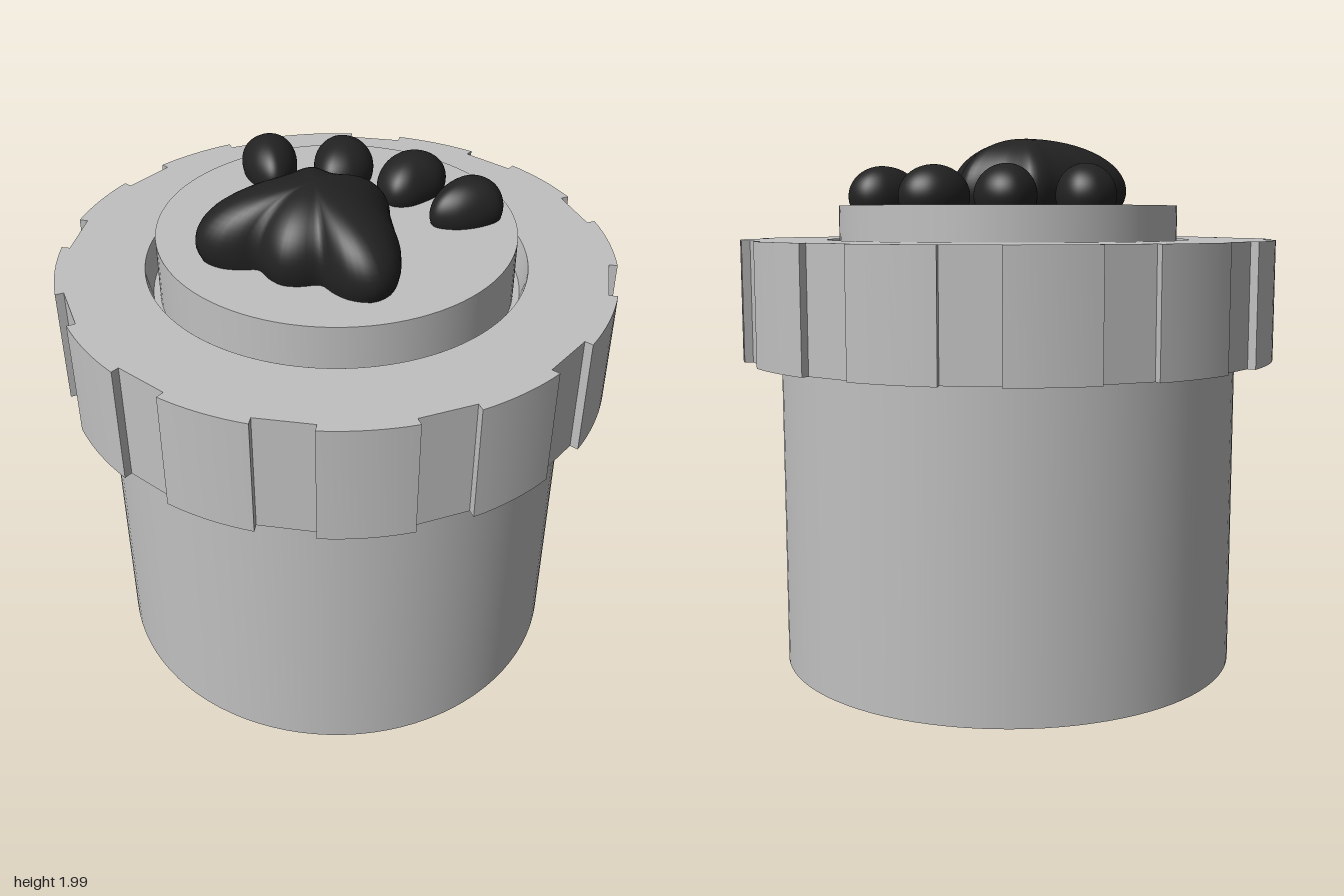
import * as THREE from 'three';
import { toCreasedNormals } from 'three/addons/utils/BufferGeometryUtils.js';

const grey = new THREE.MeshStandardMaterial({ color: 0xc0c0c0 });
grey.name = 'light grey';
const black = new THREE.MeshStandardMaterial({ color: 0x222222 });
black.name = 'soft black';

const TOP = 1.725; // top face of the button

function addMesh(parent, name, geometry, material) {
  const mesh = new THREE.Mesh(geometry, material);
  mesh.name = name;
  parent.add(mesh);
  return mesh;
}

function cylinder(radius, y0, y1) {
  return new THREE.CylinderGeometry(radius, radius, y1 - y0, 96).translate(0, (y0 + y1) / 2, 0);
}

// Collar: twelve arc teeth separated by shallow straight-sided cuts
function collarGeometry() {
  const teeth = 12, half = THREE.MathUtils.degToRad(9.2);
  const step = (Math.PI * 2) / teeth, cutHalf = Math.sin(step / 2 - half), cutDepth = 0.964;
  const pts = [];
  for (let i = 0; i < teeth; i++) {
    const a = i * step, m = a + step / 2;
    for (let k = 0; k <= 8; k++) {
      const t = a - half + (2 * half * k) / 8;
      pts.push(new THREE.Vector2(Math.cos(t), Math.sin(t)));
    }
    for (const s of [-cutHalf, cutHalf]) {
      pts.push(new THREE.Vector2(
        cutDepth * Math.cos(m) - s * Math.sin(m),
        cutDepth * Math.sin(m) + s * Math.cos(m)));
    }
  }
  const shape = new THREE.Shape(pts);
  shape.holes.push(new THREE.Path().absarc(0, 0, 0.683, 0, Math.PI * 2, true));
  const geo = new THREE.ExtrudeGeometry(shape, { depth: 0.44, bevelEnabled: false, curveSegments: 96 });
  geo.rotateX(-Math.PI / 2).translate(0, 1.16, 0);
  return toCreasedNormals(geo, 0.2);
}

// Rounded pad: a closed outline [x, z] shrunk towards its centre along an elliptical dome
function padGeometry(outline, cx, cz, top) {
  const curve = new THREE.CatmullRomCurve3(
    outline.map(([x, z]) => new THREE.Vector3(x, 0, z)), true);
  const n = 80, rows = 18, t0 = -0.3;
  const height = (top - TOP) / (1 + Math.sin(-t0));
  const baseY = top - height;
  const rim = curve.getPoints(n).slice(0, n);
  const pos = [], index = [];
  for (let j = 0; j < rows; j++) {
    const t = t0 + ((Math.PI / 2 - t0) * j) / rows;
    for (const p of rim) {
      pos.push(cx + (p.x - cx) * Math.cos(t), baseY + height * Math.sin(t), cz + (p.z - cz) * Math.cos(t));
    }
  }
  const apex = rows * n;
  pos.push(cx, top, cz);
  for (let j = 0; j < rows; j++) {
    for (let i = 0; i < n; i++) {
      const a = j * n + i, b = j * n + ((i + 1) % n);
      if (j === rows - 1) index.push(a, b, apex);
      else index.push(a, b, a + n, b, b + n, a + n);
    }
  }
  const geo = new THREE.BufferGeometry();
  geo.setAttribute('position', new THREE.Float32BufferAttribute(pos, 3));
  geo.setIndex(index);
  geo.computeVertexNormals();
  return geo;
}

const flip = (pts) => pts.map(([x, z]) => [-x, z]).reverse();

export function createModel() {
  const model = new THREE.Group();
  model.name = 'pawButtonJar';

  addMesh(model, 'body', cylinder(0.86, 0, 1.162), grey);
  addMesh(model, 'collar', collarGeometry(), grey);
  addMesh(model, 'button', cylinder(0.637, 1.16, TOP), grey);

  // Steep inner wall and floor of the groove around the button
  const groove = [[0.63, 1.5], [0.66, 1.5], [0.66, 1.5], [0.683, 1.6]].map(([r, y]) => new THREE.Vector2(r, y));
  for (const [name, a, b] of [['grooveFloor', 0, 1], ['grooveWall', 2, 3]]) {
    addMesh(model, name, new THREE.LatheGeometry([groove[a], groove[b]], 96), grey).material = grooveGrey;
  }

  // Paw print
  const paw = new THREE.Group();
  paw.name = 'paw';
  model.add(paw);

  const side = [
    [0.06, 0.425], [0.12, 0.388], [0.18, 0.415], [0.25, 0.432], [0.33, 0.41], [0.364, 0.33],
    [0.326, 0.2], [0.265, 0.1], [0.2, -0.01], [0.17, -0.07], [0.13, -0.098], [0.07, -0.085],
  ];
  const pad = [[0, 0.443], ...side, [0, -0.07], ...flip(side)];
  addMesh(paw, 'mainPad', padGeometry(pad, 0, 0.18, 1.985), black);

  const toes = [
    ['innerToe', 0.14, -0.36, [
      [0.125, -0.205], [0.18, -0.225], [0.225, -0.29], [0.255, -0.38], [0.23, -0.465],
      [0.17, -0.495], [0.1, -0.482], [0.045, -0.43], [0.022, -0.35], [0.05, -0.25]]],
    ['outerToe', 0.395, -0.265, [
      [0.325, -0.128], [0.4, -0.145], [0.475, -0.205], [0.515, -0.28], [0.48, -0.365],
      [0.41, -0.392], [0.345, -0.365], [0.295, -0.29], [0.28, -0.205], [0.295, -0.145]]],
  ];
  for (const [name, cx, cz, pts] of toes) {
    addMesh(paw, name + 'Left', padGeometry(pts, cx, cz, 1.87), black);
    addMesh(paw, name + 'Right', padGeometry(flip(pts), -cx, cz, 1.87), black);
  }
  return model;
}

// Same grey for the open groove surfaces
const grooveGrey = grey;
grey.side = THREE.DoubleSide;
